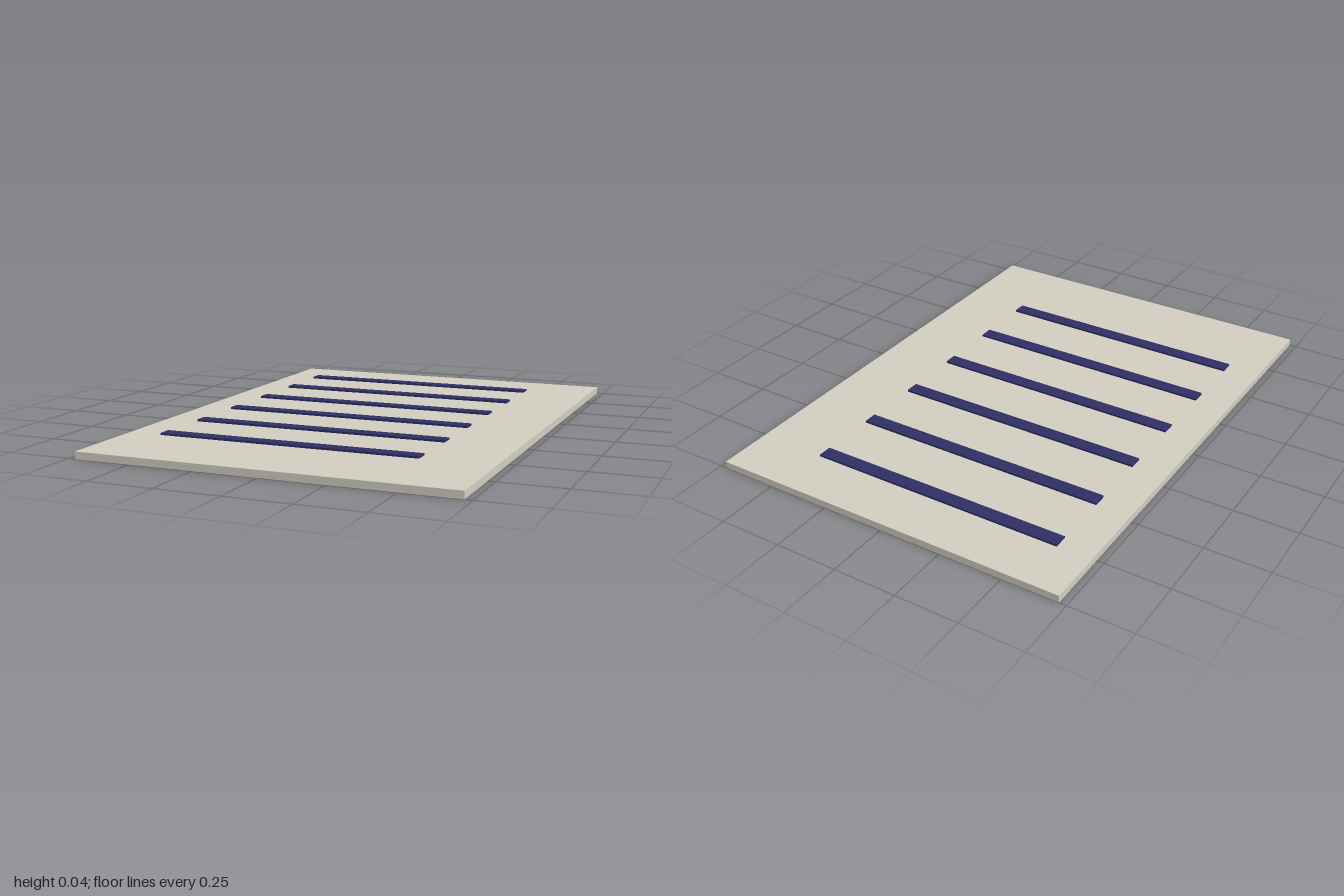
import * as THREE from 'three';

const SHEET = { width: 1.445, height: 0.028, depth: 2 };
const LINE = { width: 1.032, height: 0.008, depth: 0.055 };

function box(name, size, color, x, y, z) {
  const mesh = new THREE.Mesh(
    new THREE.BoxGeometry(size.width, size.height, size.depth),
    new THREE.MeshStandardMaterial({ color })
  );
  mesh.name = name;
  mesh.position.set(x, y, z);
  return mesh;
}

export function createModel() {
  const model = new THREE.Group();
  model.name = 'page';

  // Flat sheet lying on the ground
  model.add(box('sheet', SHEET, 0xd2cdc0, 0, SHEET.height / 2, 0));

  // Six evenly spaced raised lines, set off-centre towards the right and back
  const lines = new THREE.Group();
  lines.name = 'lines';
  for (let i = 0; i < 6; i++) {
    const z = -0.76 + i * 0.276;
    lines.add(box(`line${i + 1}`, LINE, 0x2e2e64, -0.071, SHEET.height + LINE.height / 2, z));
  }
  model.add(lines);

  return model;
}
